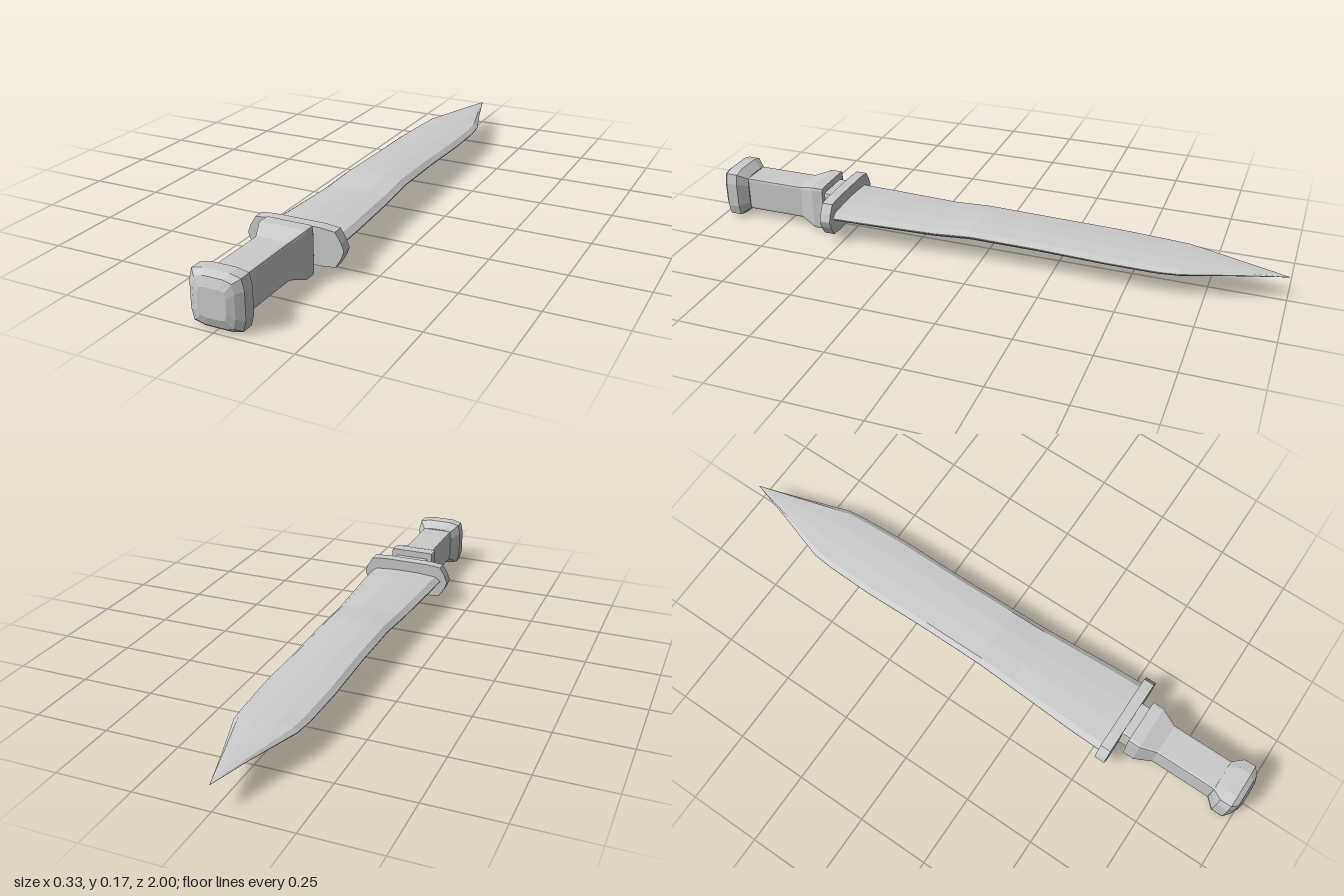
import * as THREE from 'three';

const MID = 0.088; // height of the long axis
const material = new THREE.MeshStandardMaterial({ color: 0xcccccc, flatShading: true });

// Skin a list of rings (arrays of [x, y, z], counter-clockwise seen from +z), ordered from +z to -z.
function loft(name, rings) {
  const pos = [];
  const tri = (a, b, c) => pos.push(...a, ...b, ...c);
  const n = rings[0].length;
  for (let r = 0; r < rings.length - 1; r++) {
    const a = rings[r], b = rings[r + 1];
    for (let i = 0; i < n; i++) {
      const j = (i + 1) % n;
      tri(a[i], b[i], a[j]);
      tri(a[j], b[i], b[j]);
    }
  }
  const first = rings[0], last = rings[rings.length - 1];
  for (let i = 1; i < n - 1; i++) {
    tri(first[0], first[i], first[i + 1]);
    tri(last[0], last[i + 1], last[i]);
  }
  const geometry = new THREE.BufferGeometry();
  geometry.setAttribute('position', new THREE.Float32BufferAttribute(pos, 3));
  geometry.computeVertexNormals();
  const mesh = new THREE.Mesh(geometry, material);
  mesh.name = name;
  return mesh;
}

// Ring from one quadrant of half-size fractions, mirrored into all four.
function ring(quadrant, z, w, h, y = MID) {
  const back = [...quadrant].reverse();
  const full = [
    ...quadrant,
    ...back.map(([a, b]) => [-a, b]),
    ...quadrant.map(([a, b]) => [-a, -b]),
    ...back.map(([a, b]) => [a, -b]),
  ];
  return full.map(([a, b]) => [a * w, y + b * h, z]);
}

const ROUNDED = [[1, 0.5], [0.9, 0.9], [0.5, 1]];
const BOXY = [[1, 0.85], [0.97, 0.97], [0.85, 1]];
const GUARD = [[1, 0.05], [0.95, 0.4], [0.83, 0.92], [0.53, 1]];
const BLADE = [[1, 0.08], [0.85, 0.75], [0.3, 1]];

export function createModel() {
  const group = new THREE.Group();
  group.name = 'dagger';

  // Pommel: domed end, straight band, taper to the grip
  group.add(loft('pommel', [
    [1.0, 0.045, 0.045], [0.99, 0.066, 0.073], [0.972, 0.087, 0.087],
    [0.932, 0.087, 0.087], [0.9, 0.06, 0.063],
  ].map(([z, w, h]) => ring(ROUNDED, z, w, h))));

  // Grip: straight shaft flaring into a collar
  group.add(loft('grip', [
    [0.905, 0.056, 0.06], [0.69, 0.056, 0.06], [0.632, 0.08, 0.08], [0.592, 0.08, 0.08],
  ].map(([z, w, h]) => ring(BOXY, z, w, h))));

  // Neck between collar and guard
  group.add(loft('neck', [0.594, 0.555].map((z) => ring(BOXY, z, 0.063, 0.056))));

  // Guard: wide plate with pointed ends
  group.add(loft('guard', [0.562, 0.525].map((z) => ring(GUARD, z, 0.163, 0.062))));

  // Blade: z, half width, half thickness, centre height
  group.add(loft('blade', [
    [0.53, 0.137, 0.021, 0.09],
    [0.4, 0.133, 0.021, 0.09],
    [0.16, 0.12, 0.021, 0.09],
    [0.03, 0.115, 0.021, 0.098],
    [-0.2, 0.113, 0.02, 0.095],
    [-0.43, 0.116, 0.019, 0.09],
    [-0.6, 0.11, 0.018, 0.086],
    [-0.67, 0.103, 0.016, 0.087],
    [-0.85, 0.045, 0.008, 0.088],
    [-1.0, 0.0005, 0.0005, 0.087],
  ].map(([z, w, t, y]) => ring(BLADE, z, w, t, y))));

  return group;
}
